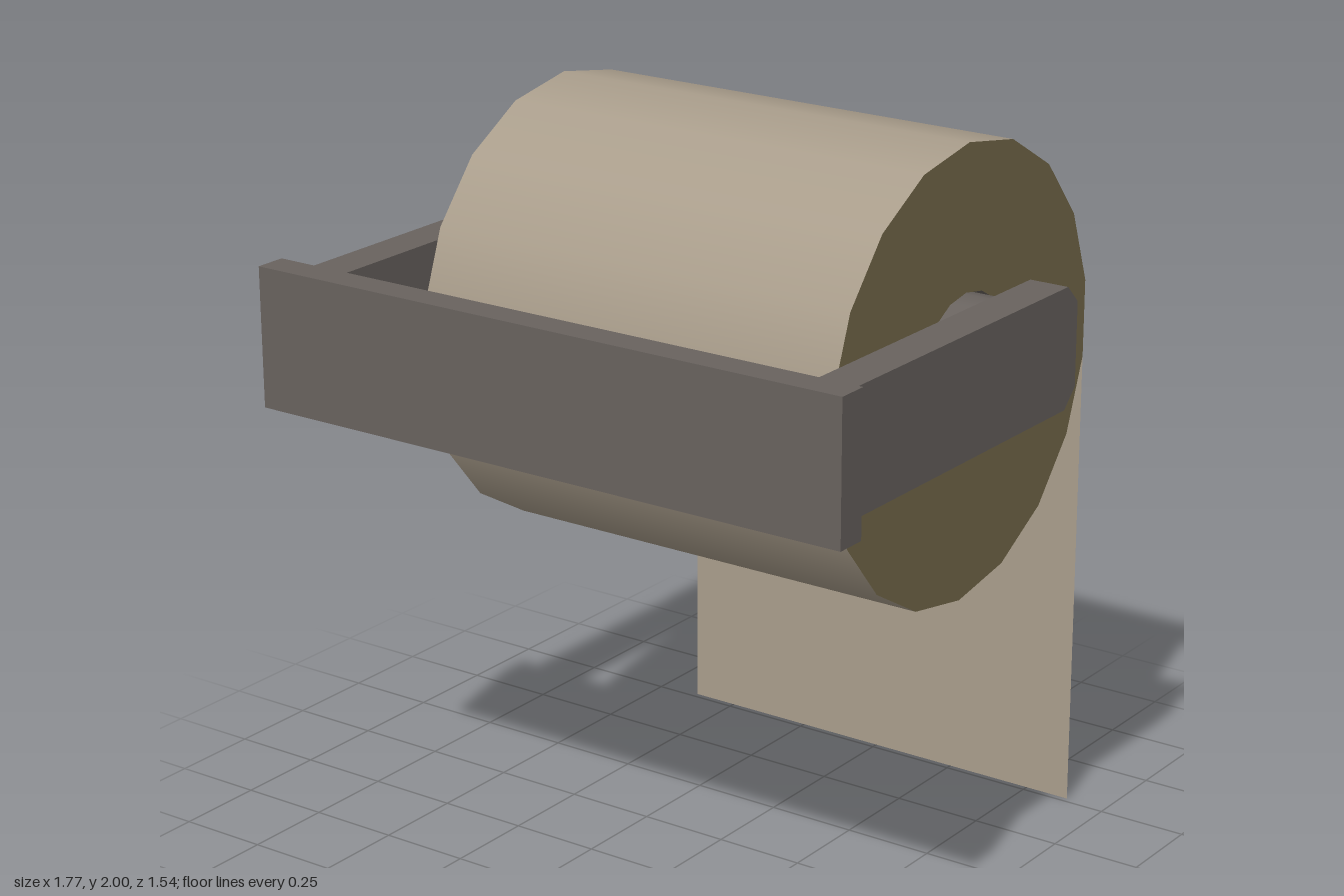
import * as THREE from 'three';

const paper = new THREE.MeshStandardMaterial({ name: 'paper', color: 0xa99d8b, side: THREE.DoubleSide });
const metal = new THREE.MeshStandardMaterial({ name: 'holder grey', color: 0x68625e });
const liner = new THREE.MeshStandardMaterial({ name: 'liner grey', color: 0x68625e, side: THREE.BackSide });
const card = new THREE.MeshStandardMaterial({ name: 'roll end brown', color: 0x766b4b });

const SIDES = 18, ROLL_Y = 1.395, AXIS_Z = -0.17, ROLL_R = 0.607, HOLE_R = 0.22, HALF = 0.63;
const ARM_Y = 1.4625;

export function createModel() {
  const model = new THREE.Group();
  model.name = 'paperRollHolder';

  const add = (parent, name, geometry, material, x = 0, y = 0, z = 0) => {
    const mesh = new THREE.Mesh(geometry, material);
    mesh.name = name;
    mesh.position.set(x, y, z);
    parent.add(mesh);
    return mesh;
  };
  // Cylinder lying along x, with a corner at the very top
  const lying = (r, length, open) =>
    new THREE.CylinderGeometry(r, r, length, SIDES, 1, open, Math.PI / 2).rotateZ(Math.PI / 2);

  // Paper roll: outer skin, hole lining and flat ends
  const roll = new THREE.Group();
  roll.name = 'roll';
  roll.position.set(0, ROLL_Y, AXIS_Z);
  model.add(roll);
  add(roll, 'rollSkin', lying(ROLL_R, 2 * HALF, true), paper);
  add(roll, 'rollHole', lying(HOLE_R, 2 * HALF, true), liner);
  for (const s of [1, -1]) {
    const ring = new THREE.RingGeometry(HOLE_R, ROLL_R, SIDES, 1, Math.PI / 2).rotateY(s * Math.PI / 2);
    add(roll, s > 0 ? 'leftRollEnd' : 'rightRollEnd', ring, card, s * HALF);
  }

  // Loose sheet hanging from the back of the roll
  const dropTop = ROLL_Y - ROLL_R * Math.cos(THREE.MathUtils.degToRad(80));
  const sheetZ = AXIS_Z - ROLL_R * Math.sin(THREE.MathUtils.degToRad(80));
  add(model, 'hangingSheet', new THREE.PlaneGeometry(2 * HALF, dropTop).rotateY(Math.PI), paper,
    0, dropTop / 2, sheetZ);

  // Holder: mounting bar, spindle and two arms with chamfered tips
  add(model, 'mountingBar', new THREE.BoxGeometry(1.766, 0.376, 0.086), metal, 0, ARM_Y, 0.726);
  add(model, 'spindle', lying(0.148, 1.46, false), metal, 0, ARM_Y, AXIS_Z - 0.003);

  // Arm profile: first coordinate is -z, second is height
  const profile = new THREE.Shape([
    [-0.69, -0.163], [0.33, -0.163], [0.38, -0.113], [0.38, 0.113], [0.33, 0.163], [-0.69, 0.163],
  ].map(([a, b]) => new THREE.Vector2(a, b)));
  for (const s of [1, -1]) {
    const arm = new THREE.ExtrudeGeometry(profile, { depth: 0.11, bevelEnabled: false })
      .translate(0, 0, -0.055).rotateY(Math.PI / 2);
    add(model, s > 0 ? 'leftArm' : 'rightArm', arm, metal, s * 0.775, ARM_Y, 0);
  }
  return model;
}
